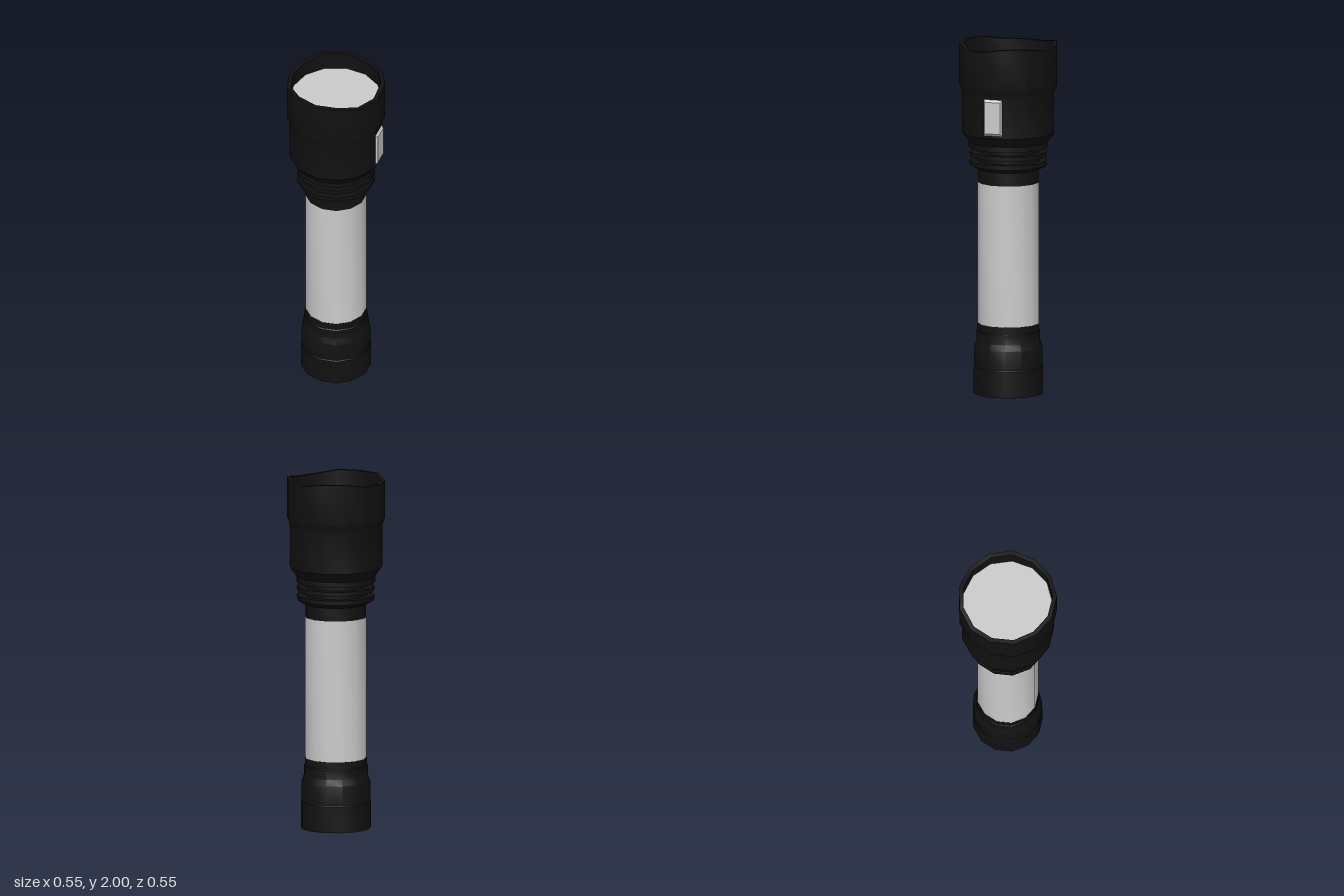
import * as THREE from 'three';
import { toCreasedNormals } from 'three/addons/utils/BufferGeometryUtils.js';

const SIDES = 13;
const STEP = (Math.PI * 2) / SIDES;
const grey = new THREE.MeshStandardMaterial({ color: 0xcccccc });
const black = new THREE.MeshStandardMaterial({ color: 0x111111 });

// 13-sided turned part with a corner on +x; profile is [radius, height]
function turned(profile) {
  const points = profile.map(([r, y]) => new THREE.Vector2(r, y));
  return new THREE.LatheGeometry(points, SIDES, Math.PI / 2);
}

function addPart(group, name, geometry, material) {
  const mesh = new THREE.Mesh(toCreasedNormals(geometry, 0.55), material);
  mesh.name = name;
  group.add(mesh);
  return mesh;
}

export function createModel() {
  const group = new THREE.Group();
  group.name = 'flashlight';
  const body = new THREE.Group();
  body.name = 'body';
  body.position.x = -0.004; // centres the odd-sided outline
  group.add(body);

  // Tail cap, closed underneath
  addPart(body, 'tailCap', turned([
    [0, 0], [0.199, 0], [0.199, 0.15], [0.195, 0.155], [0.195, 0.265],
    [0.181, 0.3], [0.181, 0.355], [0.176, 0.36], [0.176, 0.4], [0, 0.4],
  ]), black);

  // Grip tube
  addPart(body, 'gripTube', turned([[0.174, 0.4], [0.174, 1.205]]), grey);

  // Neck with two cooling fins
  addPart(body, 'finnedNeck', turned([
    [0, 1.2], [0.172, 1.2], [0.172, 1.28], [0.182, 1.283], [0.22, 1.305],
    [0.22, 1.33], [0.174, 1.33], [0.174, 1.355], [0.22, 1.355],
    [0.22, 1.38], [0.174, 1.38], [0.174, 1.41],
  ]), black);

  // Head: flared shell, rim and the hollow above the lens
  const lensY = 1.895;
  const head = turned([
    [0.17, 1.405], [0.225, 1.405], [0.225, 1.437], [0.263, 1.49],
    [0.263, 1.73], [0.279, 1.768], [0.279, 2], [0.254, 2], [0.254, lensY - 0.01],
  ]);
  // Shallow scallops: some rim corners sit lower
  const lowCorners = [2, 3, 7, 8, 9, 12];
  const pos = head.attributes.position;
  for (let i = 0; i < pos.count; i++) {
    if (pos.getY(i) < 1.99) continue;
    const corner = Math.round(Math.atan2(pos.getZ(i), pos.getX(i)) / STEP + SIDES) % SIDES;
    if (lowCorners.includes(corner)) pos.setY(i, 1.98);
  }
  addPart(body, 'head', head, black);

  // Lens
  const lens = addPart(body, 'lens', new THREE.CircleGeometry(0.254, SIDES).rotateX(-Math.PI / 2), grey);
  lens.position.y = lensY;

  // Bevelled switch covering one facet of the head
  const button = new THREE.BoxGeometry(0.125, 0.236, 0.024);
  const p = button.attributes.position;
  for (let i = 0; i < p.count; i++) {
    if (p.getZ(i) > 0) p.setXY(i, p.getX(i) * 0.74, p.getY(i) * 0.76);
  }
  const facet = 1.5 * STEP;
  const apothem = 0.263 * Math.cos(STEP / 2);
  const mesh = addPart(body, 'switchButton', button, grey);
  mesh.position.set(apothem * Math.cos(facet), 1.608, apothem * Math.sin(facet));
  mesh.rotation.y = Math.PI / 2 - facet;

  return group;
}
